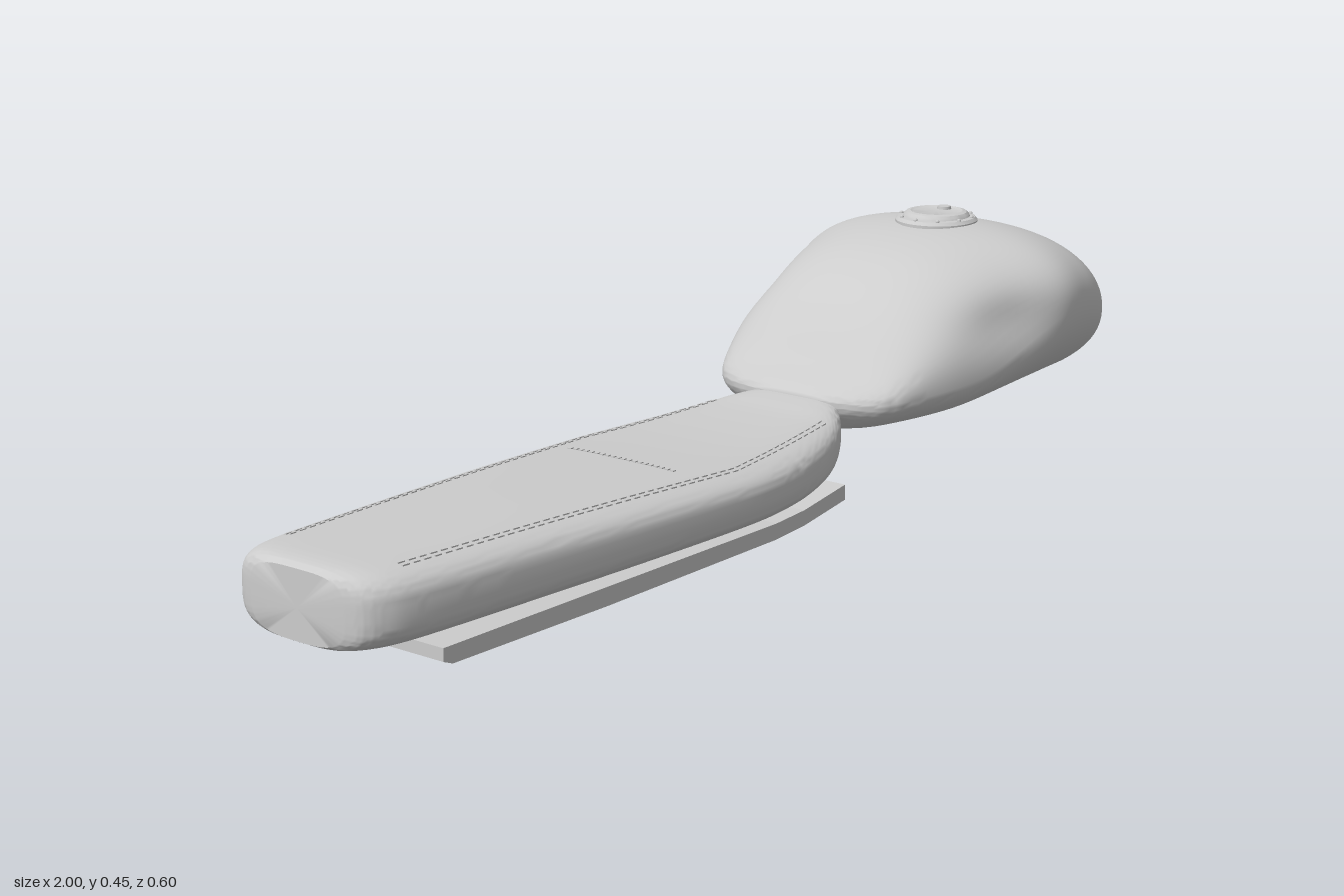
import * as THREE from 'three';
import { toCreasedNormals, mergeGeometries } from 'three/addons/utils/BufferGeometryUtils.js';

// Loft along x. Each row: [x, half width, bottom y, widest y, top y].
function makeLoft(rows, nTop, nBottom, dent = () => 0) {
  const spline = (a, b) => new THREE.CatmullRomCurve3(
    rows.map(r => new THREE.Vector3(r[0], r[a], r[b])), false, 'catmullrom', 0.5);
  const widthTop = spline(1, 4), bottomMid = spline(2, 3);
  const section = t => {
    const p = widthTop.getPoint(t), q = bottomMid.getPoint(t);
    return { x: p.x, w: p.y, top: p.z, bottom: q.y, mid: q.z };
  };
  const power = (v, n) => Math.sign(v) * Math.pow(Math.abs(v), 2 / n);

  function geometry(steps, sides, crease) {
    const pos = [], index = [];
    // the first and last rings collapse to a point and close the ends
    for (let i = -1; i <= steps + 1; i++) {
      const s = section(Math.min(1, Math.max(0, i / steps)));
      const k = i < 0 || i > steps ? 0 : 1;
      for (let j = 0; j < sides; j++) {
        const a = j / sides * Math.PI * 2, c = Math.cos(a), d = Math.sin(a);
        const n = d >= 0 ? nTop : nBottom;
        const y = s.mid + power(d, n) * (d >= 0 ? s.top - s.mid : s.mid - s.bottom) * k;
        const z = s.w * power(c, n) * k;
        pos.push(s.x, y, z - Math.sign(z) * Math.min(Math.abs(z), dent(s.x, y, Math.abs(z))));
      }
    }
    for (let i = 0; i < steps + 2; i++) {
      for (let j = 0; j < sides; j++) {
        const a = i * sides + j, b = i * sides + (j + 1) % sides;
        if (i <= steps) index.push(a, a + sides, b + sides);
        if (i > 0) index.push(a, b + sides, b);
      }
    }
    const g = new THREE.BufferGeometry();
    g.setAttribute('position', new THREE.Float32BufferAttribute(pos, 3));
    g.setIndex(index);
    return toCreasedNormals(g, crease);
  }

  // height of the upper surface at (x, z)
  function topAt(x, z) {
    let lo = 0, hi = 1;
    for (let i = 0; i < 30; i++) {
      const m = (lo + hi) / 2;
      if (section(m).x < x) lo = m; else hi = m;
    }
    const s = section(lo), u = Math.min(1, Math.abs(z) / s.w);
    return s.mid + (s.top - s.mid) * Math.pow(1 - Math.pow(u, nTop), 1 / nTop);
  }
  return { geometry, topAt };
}

// A small box lying between two points
function dash(a, b, width, height) {
  const m = new THREE.Object3D();
  m.position.copy(a).add(b).multiplyScalar(0.5);
  m.lookAt(b);
  m.updateMatrix();
  return new THREE.BoxGeometry(width, height, a.distanceTo(b)).applyMatrix4(m.matrix);
}

export function createModel() {
  const model = new THREE.Group();
  const grey = new THREE.MeshStandardMaterial({ color: 0xcccccc });
  grey.name = 'light grey';
  const add = (name, geo, parent = model) => {
    const mesh = new THREE.Mesh(geo, grey);
    mesh.name = name;
    parent.add(mesh);
    return mesh;
  };

  // Fuel tank with soft knee recesses
  const tank = makeLoft([
    [0.24, 0.08, 0.150, 0.165, 0.175],
    [0.255, 0.15, 0.130, 0.168, 0.19],
    [0.29, 0.20, 0.104, 0.175, 0.228],
    [0.38, 0.24, 0.098, 0.185, 0.320],
    [0.48, 0.267, 0.096, 0.20, 0.382],
    [0.59, 0.285, 0.095, 0.235, 0.416],
    [0.70, 0.303, 0.095, 0.28, 0.427],
    [0.80, 0.287, 0.096, 0.275, 0.416],
    [0.88, 0.264, 0.098, 0.255, 0.385],
    [0.94, 0.228, 0.106, 0.235, 0.328],
    [0.98, 0.175, 0.135, 0.215, 0.262],
    [0.996, 0.12, 0.165, 0.205, 0.228],
    [1.0, 0.07, 0.185, 0.202, 0.213],
  ], 2.45, 2, (x, y, z) => z < 0.08 ? 0 :
    0.022 * Math.exp(-(((x - 0.55) / 0.11) ** 2) - ((y - 0.285) / 0.05) ** 2));
  add('fuelTank', tank.geometry(72, 72, 1.2));

  // Filler cap with rim, bolts and lock
  const cap = new THREE.Group();
  cap.name = 'fillerCap';
  cap.position.set(0.7, 0.416, 0);
  model.add(cap);
  const profile = [[0.079, 0], [0.079, 0.011], [0.074, 0.017], [0.064, 0.018], [0.062, 0.022],
    [0.058, 0.026], [0.05, 0.028], [0.046, 0.026], [0, 0.027]].map(p => new THREE.Vector2(...p));
  add('capBody', toCreasedNormals(new THREE.LatheGeometry(profile, 48), 0.5), cap);
  for (let i = 0; i < 10; i++) {
    const a = i / 10 * Math.PI * 2;
    add('capBolt', new THREE.SphereGeometry(0.004, 10, 6), cap)
      .position.set(Math.cos(a) * 0.07, 0.018, Math.sin(a) * 0.07);
  }
  add('capLock', new THREE.CylinderGeometry(0.013, 0.014, 0.008, 20), cap).position.set(0.026, 0.028, 0);

  // Seat cushion
  const seat = makeLoft([
    [-1.0, 0.10, 0.036, 0.09, 0.153],
    [-0.99, 0.13, 0.032, 0.09, 0.159],
    [-0.965, 0.152, 0.030, 0.09, 0.163],
    [-0.92, 0.168, 0.029, 0.09, 0.164],
    [-0.82, 0.180, 0.029, 0.09, 0.163],
    [-0.62, 0.194, 0.029, 0.09, 0.161],
    [-0.40, 0.209, 0.030, 0.09, 0.157],
    [-0.16, 0.219, 0.031, 0.09, 0.151],
    [-0.04, 0.212, 0.032, 0.09, 0.150],
    [0.06, 0.193, 0.036, 0.092, 0.153],
    [0.15, 0.165, 0.048, 0.10, 0.159],
    [0.21, 0.135, 0.076, 0.118, 0.167],
    [0.25, 0.10, 0.108, 0.14, 0.171],
    [0.28, 0.06, 0.13, 0.15, 0.170],
  ], 3.8, 3.2);
  add('seatCushion', seat.geometry(80, 72, 0.7));

  // Stitching: double dashed rows on both sides and one seam across
  const onSeat = (x, z) => new THREE.Vector3(x, seat.topAt(x, z) + 0.0005, z);
  const rowZ = x => x < -0.14 ? 0.122 + (x + 0.9) / 0.76 * 0.046 : 0.168 - (x + 0.14) / 0.32 * 0.045;
  const stitches = [];
  for (const side of [-1, 1]) {
    for (const offset of [-0.005, 0.005]) {
      for (let x = -0.9; x < 0.17; x += 0.022) {
        const x2 = x + 0.014;
        stitches.push(dash(onSeat(x, side * (rowZ(x) + offset)),
          onSeat(x2, side * (rowZ(x2) + offset)), 0.003, 0.003));
      }
    }
  }
  for (let z = -0.125; z < 0.11; z += 0.012) {
    stitches.push(dash(onSeat(-0.232, z), onSeat(-0.232, z + 0.008), 0.008, 0.003));
  }
  add('seatStitching', mergeGeometries(stitches));

  // Seat base plate, bent up at its front end
  const shape = new THREE.Shape([[-0.88, 0.012], [-0.86, 0.004], [-0.5, 0.0], [-0.05, 0.002],
    [0.03, 0.008], [0.15, 0.027], [0.15, 0.055], [0.03, 0.036], [-0.05, 0.031], [-0.88, 0.034],
  ].map(p => new THREE.Vector2(...p)));
  const plate = new THREE.ExtrudeGeometry(shape, { depth: 0.378, bevelEnabled: false });
  plate.translate(0, 0, -0.189);
  add('seatBasePlate', plate);

  return model;
}
